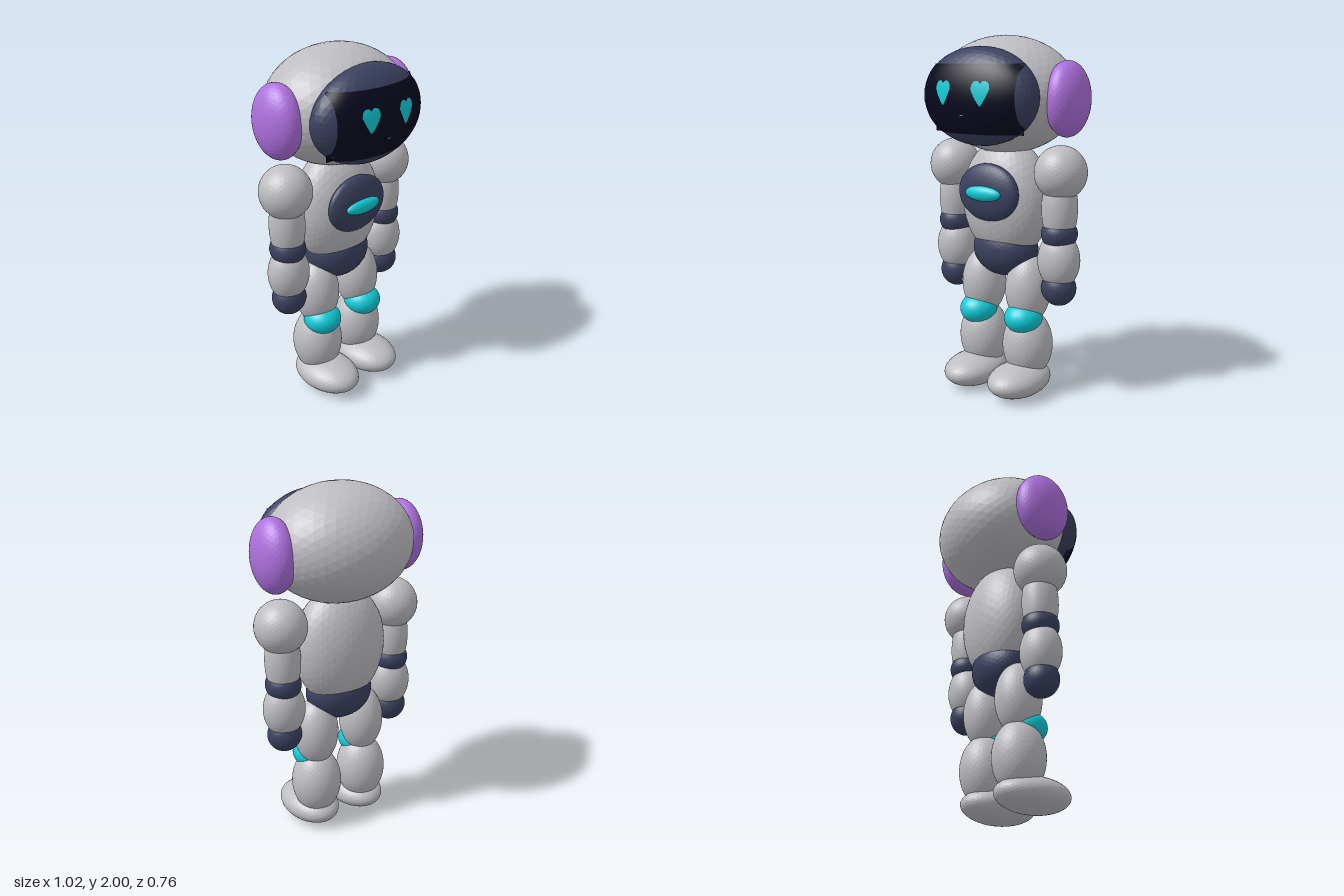
import * as THREE from 'three';

const mat = (name, color) => Object.assign(new THREE.MeshStandardMaterial({ color }), { name });

export function createModel() {
  const shell = mat('shellGrey', 0xbdbdc2);
  const navy = mat('navy', 0x3b4160);
  const cyan = mat('cyan', 0x10ccd8);
  const purple = mat('purple', 0xae70df);
  const black = mat('screenBlack', 0x08081f);
  black.side = cyan.side = THREE.DoubleSide;

  const model = new THREE.Group();
  model.name = 'robot';

  // One faceted ball, scaled into every body part
  const ball = new THREE.IcosahedronGeometry(1, 7);
  ball.computeVertexNormals();

  function blob(parent, name, material, position, radii) {
    const mesh = new THREE.Mesh(ball, material);
    mesh.name = name;
    mesh.position.set(...position);
    mesh.scale.set(...radii);
    parent.add(mesh);
  }

  // Head and trunk
  const VISOR = { y: 1.677, z: 0.209, rx: 0.365, ry: 0.261, rz: 0.168 };
  blob(model, 'head', shell, [0, 1.68, -0.02], [0.42, 0.32, 0.357]);
  blob(model, 'visor', navy, [0, VISOR.y, VISOR.z], [VISOR.rx, VISOR.ry, VISOR.rz]);
  blob(model, 'torso', shell, [0, 1.1, -0.025], [0.275, 0.345, 0.187]);
  blob(model, 'hips', navy, [0, 0.82, -0.02], [0.2, 0.16, 0.15]);
  blob(model, 'chestPlate', navy, [0, 1.155, 0.14], [0.2, 0.16, 0.06]);
  blob(model, 'chestLight', cyan, [0, 1.155, 0.19], [0.118, 0.043, 0.036]);

  // Paired parts: name, material, position on the left side, radii
  const ears = [['ear', purple, [0.4, 1.665, -0.022], [0.107, 0.2, 0.163]]];
  const arm = [
    ['shoulder', shell, [0.365, 1.275, -0.018], [0.143, 0.147, 0.147]],
    ['upperArm', shell, [0.36, 1.08, -0.02], [0.098, 0.22, 0.1]],
    ['elbowBand', navy, [0.36, 0.943, -0.02], [0.099, 0.09, 0.102]],
    ['forearm', shell, [0.358, 0.795, -0.02], [0.12, 0.16, 0.108]],
    ['hand', navy, [0.36, 0.64, -0.02], [0.098, 0.098, 0.092]],
  ];
  const leg = [
    ['thigh', shell, [0.155, 0.6, -0.02], [0.128, 0.2, 0.127]],
    ['knee', cyan, [0.159, 0.445, 0.03], [0.107, 0.088, 0.11]],
    ['shin', shell, [0.155, 0.28, -0.02], [0.143, 0.2, 0.143]],
    ['foot', shell, [0.156, 0.095, 0.063], [0.154, 0.095, 0.22]],
  ];
  for (const [side, s] of [['left', 1], ['right', -1]]) {
    for (const [part, list] of [['Ear', ears], ['Arm', arm], ['Leg', leg]]) {
      const group = new THREE.Group();
      group.name = side + part;
      for (const [name, m, [x, y, z], radii] of list) blob(group, name, m, [s * x, y, z], radii);
      model.add(group);
    }
  }

  // Face sheets follow the curve of the visor; shape maps grid (u, v) to x, y
  function faceSheet(name, material, cols, rows, offset, shape) {
    const geo = new THREE.PlaneGeometry(2, 2, cols, rows);
    const p = geo.attributes.position;
    for (let i = 0; i < p.count; i++) {
      const [x, y] = shape(p.getX(i), p.getY(i));
      const k = 1 - (x / VISOR.rx) ** 2 - ((y - VISOR.y) / VISOR.ry) ** 2;
      p.setXYZ(i, x, y, VISOR.z + offset + VISOR.rz * Math.sqrt(Math.max(0.006, k)));
    }
    geo.computeVertexNormals();
    const mesh = new THREE.Mesh(geo, material);
    mesh.name = name;
    model.add(mesh);
  }

  faceSheet('faceScreen', black, 40, 28, 0.002, (u, v) => [0.296 * u, 1.666 + 0.181 * v]);

  // Heart eyes: each column runs from a pointed base to a notched, rounded top
  for (const [side, s] of [['left', 1], ['right', -1]]) {
    faceSheet(side + 'Eye', cyan, 20, 12, 0.004, (u, v) => {
      const t = Math.abs(u);
      const top = 0.042 * Math.sqrt(1 - t ** 4) - 0.014 * Math.max(0, 1 - t / 0.3);
      const bottom = -0.086 * (1 - t ** 1.3);
      return [s * 0.122 + 0.054 * u, 1.72 + bottom + (top - bottom) * (v + 1) / 2];
    });
  }
  faceSheet('mouth', cyan, 2, 1, 0.004, (u, v) => [0.01 * u, 1.584 + 0.003 * v]);

  return model;
}
